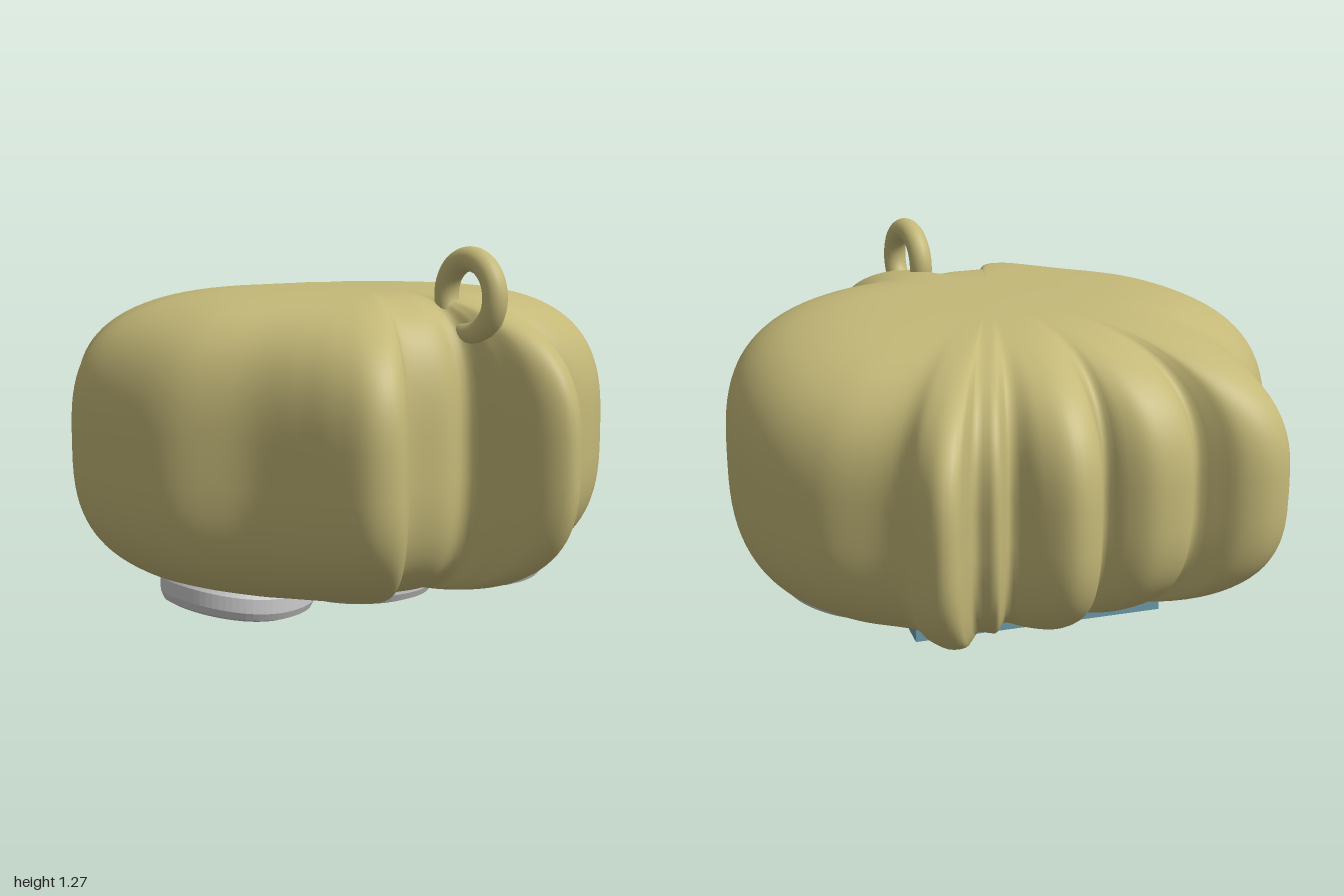
import * as THREE from 'three';

const mat = (color) => new THREE.MeshStandardMaterial({ color });

function part(name, geometry, material) {
  const mesh = new THREE.Mesh(geometry, material);
  mesh.name = name;
  return mesh;
}

// Plan outline (x, z), anticlockwise seen from above
const OUTLINE = [
  [0.98, -0.1], [0.95, -0.3], [0.85, -0.5], [0.68, -0.7], [0.68, -0.85], [0.65, -0.95],
  [0.6, -0.96], [0.54, -0.9], [0.47, -0.83], [0.42, -0.88], [0.38, -0.84], [0.32, -0.78],
  [0.27, -0.88], [0.2, -0.96], [0.15, -0.97], [0.08, -0.94], [0.03, -0.85], [-0.01, -0.8],
  [-0.05, -0.86], [-0.12, -0.92], [-0.2, -0.93], [-0.28, -0.91], [-0.33, -0.85], [-0.38, -0.9],
  [-0.44, -0.97], [-0.53, -1], [-0.62, -0.97], [-0.68, -0.85], [-0.71, -0.7], [-0.74, -0.62],
  [-0.85, -0.51], [-0.95, -0.35], [-0.98, -0.2], [-0.95, 0.05], [-0.89, 0.22], [-0.72, 0.44],
  [-0.65, 0.6], [-0.6, 0.74], [-0.54, 0.85], [-0.46, 0.88], [-0.39, 0.84], [-0.32, 0.74],
  [-0.27, 0.66], [-0.1, 0.67], [0, 0.65], [0.05, 0.8], [0.1, 0.95], [0.16, 1],
  [0.24, 0.95], [0.3, 0.8], [0.35, 0.67], [0.53, 0.65], [0.72, 0.55], [0.86, 0.38], [0.95, 0.15],
];

// Puffed body: rings follow the lobed outline at mid height and melt into an ellipse on top and below
function bodyGeometry() {
  const RINGS = 56, N = 320, midY = 0.585, halfHeight = 0.525;
  const curve = new THREE.CatmullRomCurve3(OUTLINE.map(([x, z]) => new THREE.Vector3(x, 0, z)), true);
  const edge = curve.getSpacedPoints(N).slice(0, N);
  const pos = [], index = [];
  for (let j = 0; j <= RINGS; j++) {
    const phi = (j / RINGS) * Math.PI, c = Math.cos(phi);
    const s = Math.pow(Math.max(0, 1 - c * c), 1 / 5);
    const h = Math.sign(c) * Math.pow(c * c, 1 / 3);
    for (const p of edge) {
      const r = p.length();
      const ellipse = 1 / Math.hypot(p.x / r / 0.9, p.z / r / 0.65);
      const k = (s * THREE.MathUtils.lerp(ellipse, r, s * s)) / r;
      pos.push(p.x * k, midY + h * halfHeight, p.z * k);
    }
  }
  for (let j = 0; j < RINGS; j++) {
    for (let i = 0; i < N; i++) {
      const n = (i + 1) % N;
      const a = j * N + i, b = a + N, c = (j + 1) * N + n, d = j * N + n;
      index.push(a, b, c, a, c, d);
    }
  }
  const g = new THREE.BufferGeometry();
  g.setAttribute('position', new THREE.Float32BufferAttribute(pos, 3));
  g.setIndex(index);
  g.computeVertexNormals();
  return g;
}

// Base plate: three joined discs with a bevelled rim, ends bent upward
function plateGeometry() {
  const r = 0.27, a = 0.39;
  const shape = new THREE.Shape();
  shape.absarc(0.5, 0.11, r, -Math.PI + a, Math.PI - a, false);
  shape.absarc(0, 0.05, r, a, Math.PI - a, false);
  shape.absarc(-0.5, 0.01, r, a, Math.PI * 2 - a, false);
  shape.absarc(0, 0.05, r, Math.PI + a, Math.PI * 2 - a, false);
  const g = new THREE.ExtrudeGeometry(shape, {
    depth: 0.05, bevelThickness: 0.035, bevelSize: 0.04, bevelOffset: -0.04, bevelSegments: 2, curveSegments: 32,
  });
  g.rotateX(Math.PI / 2).translate(0, 0.085, 0);
  const p = g.attributes.position;
  for (let i = 0; i < p.count; i++) {
    const t = Math.max(0, Math.abs(p.getX(i)) - 0.45) / 0.32;
    p.setY(i, p.getY(i) + 0.045 * t * t);
  }
  g.computeVertexNormals();
  return g;
}

export function createModel() {
  const model = new THREE.Group();
  model.name = 'puffedPendant';
  const gold = mat(0xc4b878);

  model.add(part('body', bodyGeometry(), gold));

  // Hanging ring standing on the front lobe
  const ring = part('hangingRing', new THREE.TorusGeometry(0.124, 0.042, 20, 64), gold);
  ring.rotation.y = Math.PI / 2;
  ring.position.set(0.05, 1.104, 0.605);
  model.add(ring);

  model.add(part('basePlate', plateGeometry(), mat(0xcccccc)));

  // Narrow inlay strip under the back
  const strip = part('inlayStrip', new THREE.BoxGeometry(0.88, 0.08, 0.13), mat(0x6f9fae));
  strip.position.set(0.08, 0.115, -0.5);
  strip.rotation.y = -0.18;
  model.add(strip);

  return model;
}
